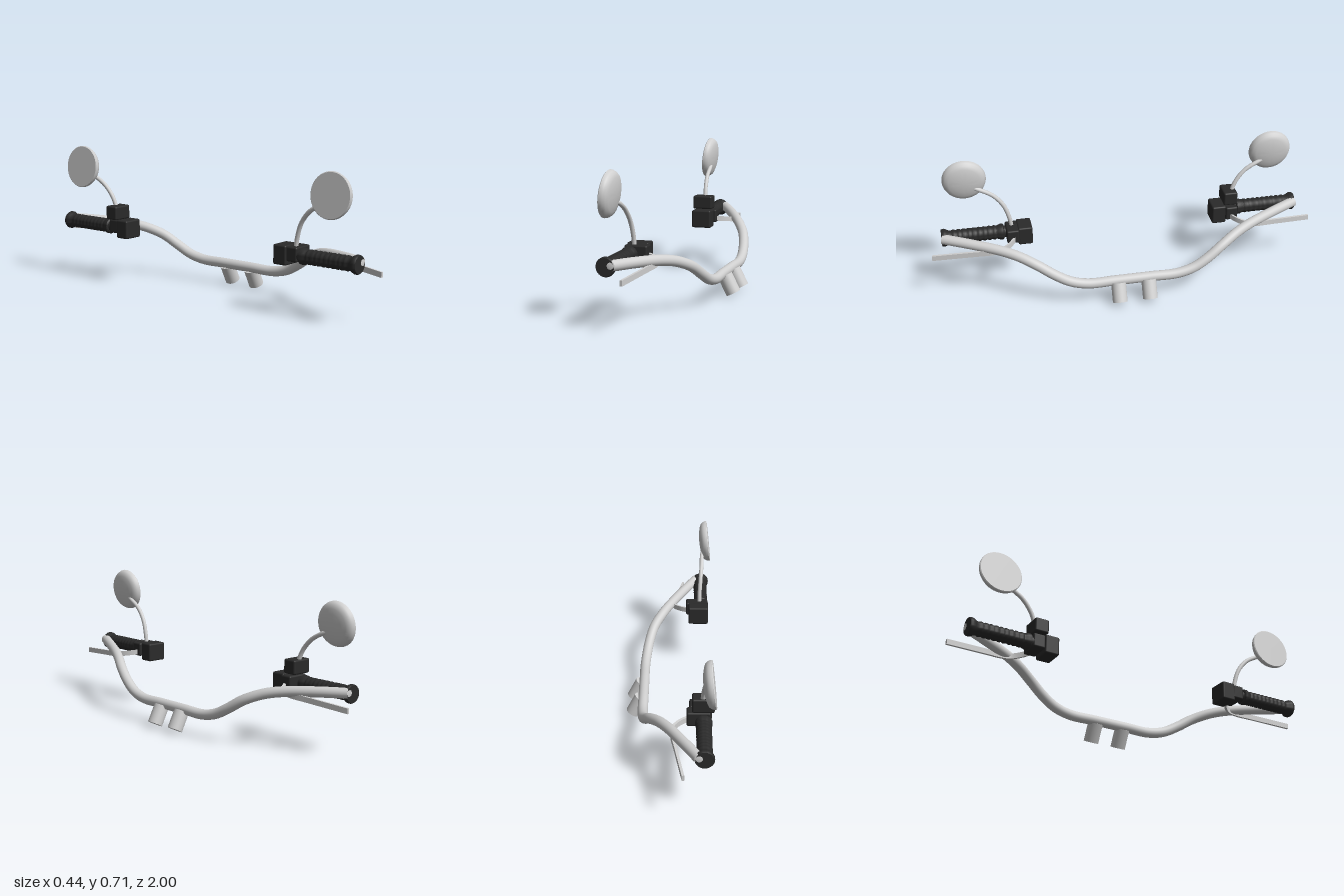
import * as THREE from 'three';
import { toCreasedNormals } from 'three/addons/utils/BufferGeometryUtils.js';
import { RoundedBoxGeometry } from 'three/addons/geometries/RoundedBoxGeometry.js';

const V = (x, y, z) => new THREE.Vector3(x, y, z);
const GRIP = { x: -0.168, y: 0.298 };

export function createModel() {
  const model = new THREE.Group();
  model.name = 'handlebar';
  const chrome = new THREE.MeshStandardMaterial({ name: 'chrome', color: 0xd0d0d0 });
  const rubber = new THREE.MeshStandardMaterial({ name: 'blackRubber', color: 0x2a2a2a });

  const add = (name, geometry, material, parent = model) => {
    const mesh = new THREE.Mesh(geometry, material);
    mesh.name = name;
    parent.add(mesh);
    return mesh;
  };
  const lathe = (profile, segments) => toCreasedNormals(
    new THREE.LatheGeometry(profile.map(([r, h]) => new THREE.Vector2(r, h)), segments), 0.6);
  // Rounded box from its x, y and z limits
  const box = (name, x0, x1, y0, y1, z0, z1, parent) =>
    add(name, new RoundedBoxGeometry(x1 - x0, y1 - y0, Math.abs(z1 - z0), 3, 0.009), rubber, parent)
      .position.set((x0 + x1) / 2, (y0 + y1) / 2, (z0 + z1) / 2);

  // Main bar: one half of the path, mirrored
  const half = [
    [0.132, 0.118, 0.1], [0.132, 0.118, 0.23], [0.126, 0.138, 0.32], [0.113, 0.18, 0.4],
    [0.088, 0.23, 0.48], [0.042, 0.268, 0.57], [-0.005, 0.287, 0.66], [-0.075, 0.299, 0.8],
    [-0.143, 0.305, 0.935],
  ].map(p => V(...p));
  const path = [...half.map(p => V(p.x, p.y, -p.z)).reverse(), V(0.132, 0.118, 0), ...half];
  add('bar', new THREE.TubeGeometry(new THREE.CatmullRomCurve3(path), 160, 0.026, 24), chrome);

  for (const s of [1, -1]) {
    const side = new THREE.Group();
    side.name = s > 0 ? 'frontSide' : 'backSide';
    model.add(side);

    // End discs closing the bar
    const cap = add('barEnd', new THREE.SphereGeometry(0.026, 24, 12), chrome, side);
    cap.position.copy(half[half.length - 1]);
    cap.position.z *= s;
    cap.scale.z = 0.3;

    // Tilted riser post under the bar
    const riser = add('riser', new THREE.CylinderGeometry(0.038, 0.038, 0.1, 32), chrome, side);
    riser.position.set(0.164, 0.0645, s * 0.079);
    riser.rotation.z = 0.468;

    // Ribbed grip with a flange at each end
    const profile = [[0, 0.62], [0.034, 0.62], [0.041, 0.625], [0.041, 0.64], [0.036, 0.652]];
    for (let i = 0; i < 9; i++) {
      const h = 0.66 + i * 0.026;
      profile.push([0.034, h], [0.037, h + 0.007], [0.037, h + 0.014], [0.034, h + 0.02]);
    }
    profile.push([0.034, 0.9], [0.04, 0.912], [0.046, 0.924], [0.046, 0.934], [0.042, 0.941], [0, 0.941]);
    const grip = add('grip', lathe(profile, 32).rotateX(s * Math.PI / 2), rubber, side);
    grip.position.set(GRIP.x, GRIP.y, 0);
    const core = add('gripCore', new THREE.CylinderGeometry(0.03, 0.03, 0.1, 24).rotateX(Math.PI / 2), rubber, side);
    core.position.set(GRIP.x, GRIP.y, s * 0.59);

    // Switch housing and lever clamp
    box('switchHousing', -0.207, -0.1, 0.246, 0.343, s * 0.478, s * 0.553, side);
    box('leverClamp', -0.2, -0.087, 0.268, 0.34, s * 0.548, s * 0.612, side);

    // Lever: flat blade outlined in plan, then bent down toward its tip
    const line = new THREE.CatmullRomCurve3([
      V(-0.1, 0, 0.57), V(-0.055, 0, 0.6), V(-0.022, 0, 0.645), V(-0.018, 0, 0.69),
      V(-0.035, 0, 0.79), V(-0.071, 0, 1)]);
    const edge = [1, -1].map(d => line.getPoints(28).map((p, i) => {
      const t = line.getTangent(i / 28);
      return new THREE.Vector2(p.x + d * t.z * 0.006, Math.min(1, p.z - d * t.x * 0.006) * s);
    }));
    const blade = new THREE.ExtrudeGeometry(new THREE.Shape([...edge[0], ...edge[1].reverse()]),
      { depth: 0.027, bevelEnabled: false }).rotateX(Math.PI / 2);
    const pos = blade.attributes.position;
    for (let i = 0; i < pos.count; i++) {
      const z = Math.abs(pos.getZ(i));
      const drop = z < 0.66 ? 0.302 - (z - 0.57) * 0.16 : 0.288 - (z - 0.66) * 0.09;
      pos.setY(i, pos.getY(i) + drop);
    }
    add('lever', toCreasedNormals(blade, 0.6), chrome, side);

    // Mirror stem
    const stem = new THREE.CatmullRomCurve3([
      V(-0.16, 0.31, s * 0.578), V(-0.161, 0.38, s * 0.588), V(-0.166, 0.455, s * 0.615),
      V(-0.171, 0.515, s * 0.665), V(-0.174, 0.553, s * 0.73), V(-0.18, 0.565, s * 0.76)]);
    add('mirrorStem', new THREE.TubeGeometry(stem, 40, 0.011, 14), chrome, side);

    // Round mirror: flat face toward -x, shallow dome toward +x
    const shell = [[0, 0], [0.107, 0], [0.111, 0.004], [0.111, 0.01], [0.107, 0.022], [0.098, 0.034],
      [0.08, 0.041], [0.055, 0.047], [0.028, 0.05], [0, 0.051]];
    const mirror = add('mirror', lathe(shell, 48), chrome, side);
    mirror.position.set(-0.21, 0.607, s * 0.802);
    mirror.rotation.z = -1.682;
  }

  // Reservoir on one side only
  box('reservoir', -0.219, -0.112, 0.342, 0.414, -0.542, -0.615, model);
  return model;
}
